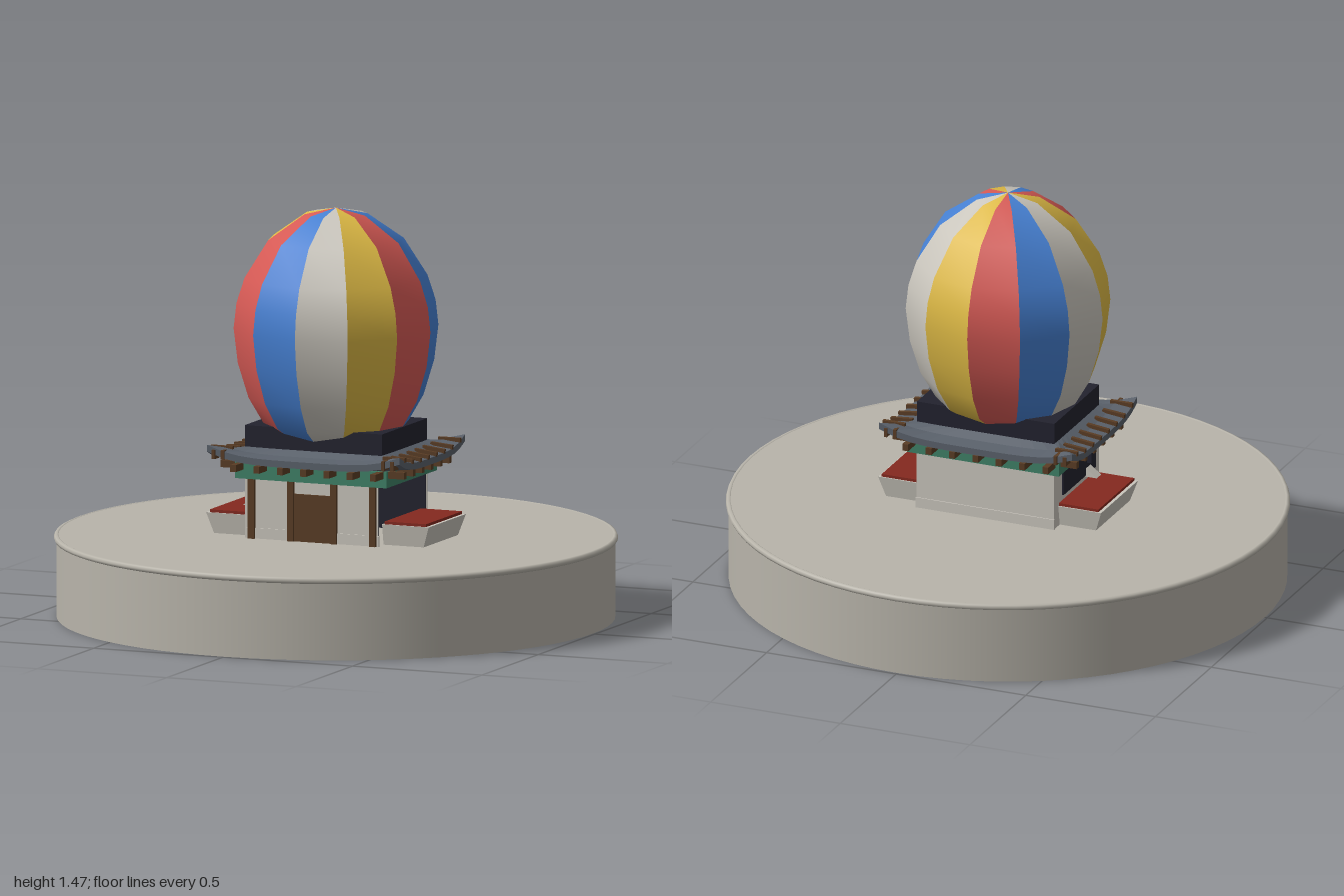
import * as THREE from 'three';

const mat = (name, color) => {
  const m = new THREE.MeshStandardMaterial({ color });
  m.name = name;
  return m;
};

export function createModel() {
  const stone = mat('stone', 0xb8b4aa), white = mat('off white', 0xcac6bd);
  const blue = mat('blue', 0x4680d2), red = mat('red', 0xd65a55), yellow = mat('yellow', 0xddb945);
  const darkRed = mat('dark red', 0x85291f), brown = mat('brown', 0x5a3d25);
  const green = mat('green', 0x3f8268), slate = mat('slate', 0x5a616b), charcoal = mat('charcoal', 0x22222e);

  const model = new THREE.Group();
  const add = (name, geo, material, x = 0, y = 0, z = 0, parent = model) => {
    const m = new THREE.Mesh(geo, material);
    m.name = name;
    m.position.set(x, y, z);
    parent.add(m);
    return m;
  };
  // Box given by its limits on each axis
  const box = (name, material, x0, x1, y0, y1, z0, z1) =>
    add(name, new THREE.BoxGeometry(x1 - x0, y1 - y0, z1 - z0), material,
      (x0 + x1) / 2, (y0 + y1) / 2, (z0 + z1) / 2);

  // Round base with a rounded lip
  add('base', new THREE.CylinderGeometry(0.99, 0.99, 0.295, 72), stone, 0, 0.1475, 0);
  const lip = add('baseLip', new THREE.TorusGeometry(0.988, 0.012, 8, 72), stone, 0, 0.285, 0);
  lip.rotation.x = Math.PI / 2;

  // Walls: the +x side is open and shows a dark lining
  const floor = 0.295, top = 0.52;
  box('frontWall', white, -0.25, 0.25, floor, top, 0.195, 0.203);
  box('frontLining', charcoal, -0.25, 0.25, floor, top, 0.19, 0.195);
  box('backWall', white, -0.265, 0.265, floor, top, -0.203, -0.195);
  box('backLining', charcoal, -0.25, 0.262, floor, top, -0.195, -0.19);
  box('sideWall', white, -0.265, -0.25, floor, top, -0.2, 0.2);
  box('frontPlinth', white, -0.255, 0.255, floor, 0.333, 0.2, 0.207);
  box('backPlinth', white, -0.267, 0.267, floor, 0.333, -0.207, -0.2);

  // Side window with a lamp and a small flap
  box('sideWindow', charcoal, -0.271, -0.264, 0.4, 0.5, -0.13, 0.16);
  box('lamp', charcoal, -0.288, -0.268, 0.445, 0.495, 0.08, 0.11);
  const flap = new THREE.Shape([[-0.265, 0.432], [-0.312, 0.395], [-0.265, 0.395]]
    .map(([x, y]) => new THREE.Vector2(x, y)));
  add('windowFlap', new THREE.ExtrudeGeometry(flap, { depth: 0.04, bevelEnabled: false }), white, 0, 0, 0.07);

  // Door and timber posts
  box('door', brown, -0.073, 0.073, floor, 0.465, 0.2, 0.21);
  for (const s of [-1, 1]) {
    for (const x of [0.083, 0.234]) {
      box('post', brown, s * x - 0.012, s * x + 0.012, floor, top, 0.195, 0.218);
    }
  }

  // Flared side counters with red tops
  const counterShape = new THREE.Shape([[0.25, 0.295], [0.405, 0.295], [0.43, 0.37], [0.25, 0.37]]
    .map(([x, y]) => new THREE.Vector2(x, y)));
  for (const s of [0, 1]) {
    const side = new THREE.Group();
    side.name = s ? 'rightCounter' : 'leftCounter';
    side.rotation.y = s * Math.PI;
    const body = new THREE.ExtrudeGeometry(counterShape, { depth: 0.33, bevelEnabled: false });
    body.translate(0, 0, -0.165);
    // Narrow the counter towards its foot
    const p = body.attributes.position;
    for (let i = 0; i < p.count; i++) if (p.getY(i) < 0.3) p.setZ(i, p.getZ(i) * 0.92);
    body.computeVertexNormals();
    add('counterBody', body, white, 0, 0, 0, side);
    add('counterTop', new THREE.BoxGeometry(0.16, 0.012, 0.32), darkRed, 0.338, 0.374, 0, side);
    model.add(side);
  }

  // Green beam and dark attic block
  box('beam', green, -0.293, 0.293, 0.51, 0.568, -0.225, 0.225);
  box('attic', charcoal, -0.265, 0.265, 0.565, 0.698, -0.2, 0.2);

  // Skirt roof: a rectangular ring with upswept corners
  const section = [[0, 0.622], [0.4, 0.602], [1, 0.594], [1, 0.57], [0, 0.562], [0, 0.622]];
  const steps = 12, around = steps * 4, verts = [], index = [];
  for (let i = 0; i <= around; i++) {
    const side = Math.floor(i / steps) % 4, s = ((i % steps) / steps) * 2 - 1;
    const [ux, uz] = [[s, 1], [1, -s], [-s, -1], [-1, s]][side];
    for (const [t, y] of section) {
      verts.push(ux * (0.262 + 0.11 * t), y + 0.04 * t * Math.abs(s) ** 4, uz * (0.197 + 0.095 * t));
    }
  }
  const n = section.length;
  for (let i = 0; i < around; i++) {
    for (let j = 0; j < n - 1; j++) {
      const a = i * n + j, b = a + n;
      index.push(a, a + 1, b, b, a + 1, b + 1);
    }
  }
  const ring = new THREE.BufferGeometry();
  ring.setAttribute('position', new THREE.Float32BufferAttribute(verts, 3));
  ring.setIndex(index);
  const flatRing = ring.toNonIndexed();
  flatRing.computeVertexNormals();
  add('roof', flatRing, slate);

  // Roof ribs on the side slopes, rafters under every eave
  for (const s of [-1, 1]) {
    for (let i = 0; i < 8; i++) {
      const z = -0.245 + i * 0.07;
      const lift = 0.03 * (Math.abs(z) / 0.29) ** 4;
      const rib = add('roofRib', new THREE.BoxGeometry(0.085, 0.016, 0.014), brown, s * 0.333, 0.604 + lift, z);
      rib.rotation.z = s * (lift * 8 - 0.12);
    }
    for (let i = 0; i < 7; i++) {
      const x = -0.27 + i * 0.09;
      box('rafter', brown, x - 0.011, x + 0.011, 0.543, 0.568, s * 0.248 - 0.045, s * 0.248 + 0.045);
    }
    for (let i = 0; i < 6; i++) {
      const z = -0.2 + i * 0.08;
      box('sideRafter', brown, s * 0.315 - 0.04, s * 0.315 + 0.04, 0.543, 0.568, z - 0.01, z + 0.01);
    }
    // Upturned rib pairs at the corners
    for (const x of [-0.345, -0.31, 0.31, 0.345]) {
      box('cornerRib', brown, x - 0.006, x + 0.006, 0.585, 0.618, s * 0.275 - 0.022, s * 0.275 + 0.022);
    }
  }

  // Balloon: twelve flat gores in four repeating colours
  const profile = [[0.1, 0.62], [0.2, 0.655], [0.257, 0.695], [0.312, 0.79], [0.35, 0.915], [0.365, 1.04],
    [0.355, 1.13], [0.326, 1.22], [0.242, 1.353], [0.112, 1.444], [0, 1.466]]
    .map(([x, y]) => new THREE.Vector2(x, y));
  const balloon = new THREE.Group();
  balloon.name = 'balloon';
  const goreColours = [white, yellow, red, blue];
  for (let i = 0; i < 12; i++) {
    const gore = new THREE.LatheGeometry(profile, 1, (i * Math.PI) / 6, Math.PI / 6);
    gore.computeVertexNormals();
    add('gore', gore, goreColours[i % 4], 0, 0, 0, balloon);
  }
  model.add(balloon);

  return model;
}
